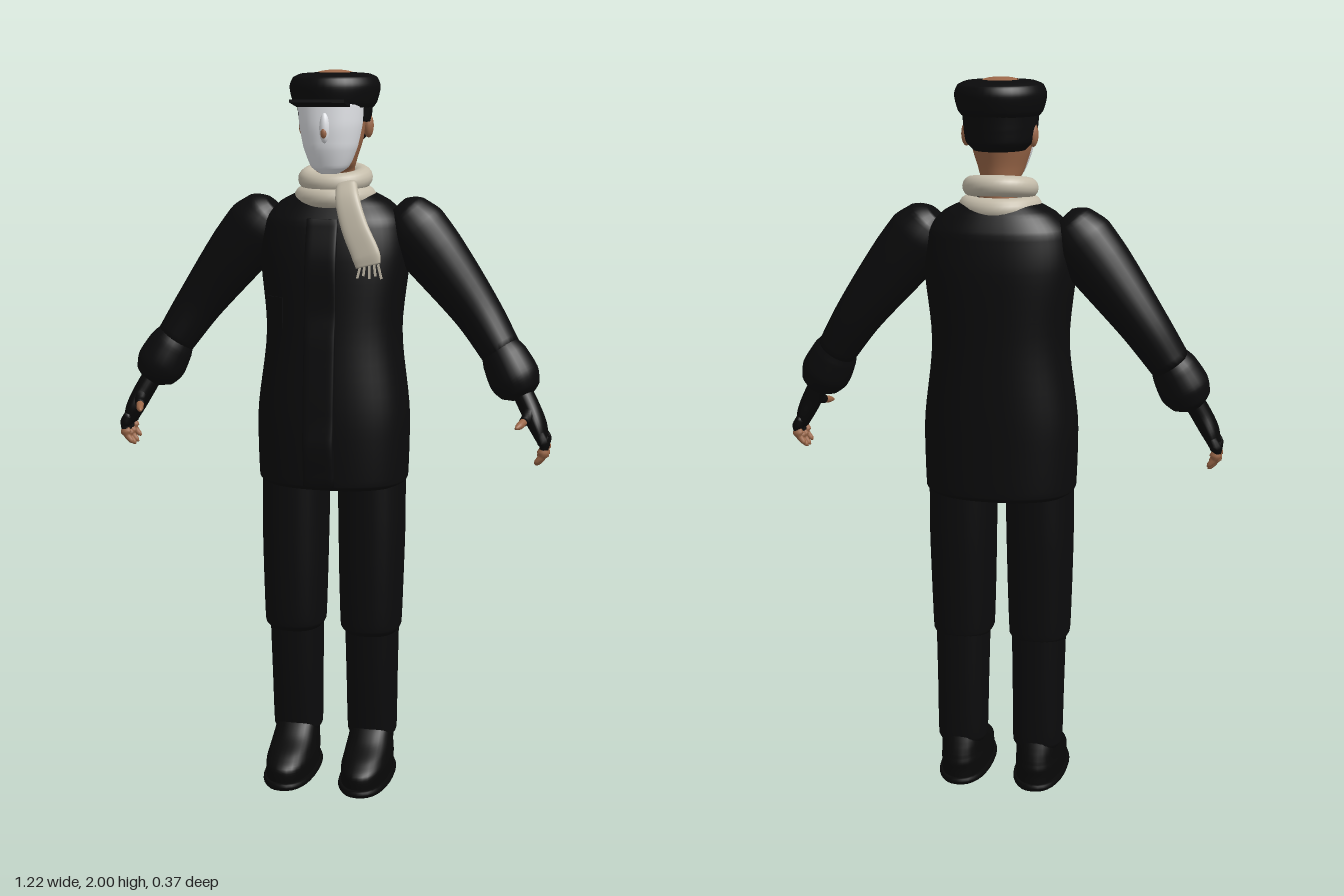
import * as THREE from 'three';

const mat = (name, color, side = THREE.FrontSide) => {
  const m = new THREE.MeshStandardMaterial({ color, side });
  m.name = name;
  return m;
};

// Smooth body through sections [x, y, z, halfWidth, halfDepth].
// Rings are level, or perpendicular to the path when follow is true.
// power > 2 squares off the ring.
function loft(sections, { follow = false, power = 2, steps = 6, seg = 32 } = {}) {
  const path = new THREE.CatmullRomCurve3(sections.map(s => new THREE.Vector3(s[0], s[1], s[2])));
  const size = new THREE.CatmullRomCurve3(sections.map(s => new THREE.Vector3(s[3], s[4], 0)));
  const n = (sections.length - 1) * steps;
  const pos = [], idx = [];
  const round = v => Math.sign(v) * Math.abs(v) ** (2 / power);
  for (let i = 0; i <= n; i++) {
    const c = path.getPoint(i / n), r = size.getPoint(i / n);
    const t = follow ? path.getTangent(i / n) : new THREE.Vector3(0, 1, 0);
    const w = new THREE.Vector3(0, 0, 1).addScaledVector(t, -t.z).normalize();
    const u = w.clone().cross(t);
    for (let j = 0; j < seg; j++) {
      const a = j / seg * Math.PI * 2;
      const p = c.clone().addScaledVector(u, r.x * round(Math.cos(a))).addScaledVector(w, r.y * round(Math.sin(a)));
      pos.push(p.x, p.y, p.z);
    }
  }
  for (let i = 0; i < n; i++) for (let j = 0; j < seg; j++) {
    const k = (j + 1) % seg;
    const a = i * seg + j, b = i * seg + k, c = b + seg, d = a + seg;
    idx.push(a, b, c, a, c, d);
  }
  // end caps
  const first = sections[0], last = sections[sections.length - 1], m = pos.length / 3;
  pos.push(...first.slice(0, 3), ...last.slice(0, 3));
  for (let j = 0; j < seg; j++) {
    const k = (j + 1) % seg;
    idx.push(m, k, j, m + 1, n * seg + j, n * seg + k);
  }
  const g = new THREE.BufferGeometry();
  g.setAttribute('position', new THREE.Float32BufferAttribute(pos, 3));
  g.setIndex(idx);
  g.computeVertexNormals();
  return g;
}

// Limits the depth of every vertex by a rule
function limitZ(g, rule) {
  const p = g.attributes.position;
  for (let i = 0; i < p.count; i++) p.setZ(i, rule(p.getZ(i), p.getY(i)));
  g.computeVertexNormals();
  return g;
}

export function createModel() {
  const model = new THREE.Group();
  model.name = 'figure';
  const cloth = mat('black cloth', 0x0b0b0c);
  const leather = mat('black leather', 0x080808);
  const skin = mat('skin', 0x9c6849);
  const white = mat('mask white', 0xe2e4e8);
  const wool = mat('scarf wool', 0xc4bcaa);
  const add = (name, geo, material, parent = model) => {
    const m = new THREE.Mesh(geo, material);
    m.name = name;
    parent.add(m);
    return m;
  };

  // jacket with front placket and chest pocket
  add('jacket', loft([
    [0, 0.872, -0.025, 0.195, 0.145], [0, 0.885, -0.025, 0.208, 0.155], [0, 1.05, -0.025, 0.212, 0.158],
    [0, 1.3, -0.033, 0.187, 0.15], [0, 1.5, -0.04, 0.205, 0.145], [0, 1.6, -0.045, 0.195, 0.13],
    [0, 1.65, -0.05, 0.15, 0.1], [0, 1.685, -0.05, 0.08, 0.07],
  ], { power: 2.4, seg: 48 }), cloth);
  add('placket', loft([
    [-0.008, 0.885, 0.128, 0.043, 0.012], [-0.008, 1.05, 0.134, 0.043, 0.012], [-0.008, 1.3, 0.118, 0.043, 0.01],
    [-0.008, 1.5, 0.106, 0.043, 0.01], [-0.008, 1.61, 0.078, 0.043, 0.01],
  ], { power: 5 }), cloth);
  const pocket = add('chestPocket', new THREE.BoxGeometry(0.055, 0.085, 0.012), cloth);
  pocket.position.set(-0.138, 1.355, 0.078);
  pocket.rotation.y = -0.5;

  // head and neck
  add('head', loft([
    [0, 1.66, -0.05, 0.055, 0.055], [0, 1.725, -0.045, 0.052, 0.055], [0, 1.755, -0.022, 0.06, 0.078],
    [0, 1.82, -0.02, 0.08, 0.095], [0, 1.9, -0.03, 0.088, 0.108], [0, 1.95, -0.035, 0.085, 0.1],
  ]), skin);
  add('mask', limitZ(loft([
    [0, 1.728, 0.03, 0.025, 0.03], [0, 1.745, 0.025, 0.05, 0.05], [0, 1.8, 0.015, 0.074, 0.076],
    [0, 1.86, 0.01, 0.086, 0.084], [0, 1.915, 0.01, 0.09, 0.08],
  ], { power: 2.2 }), z => Math.max(z, 0.008)), white);
  const bridge = add('maskBridge', new THREE.SphereGeometry(1, 16, 12), white);
  bridge.scale.set(0.014, 0.04, 0.016);
  bridge.position.set(0, 1.85, 0.09);
  const nose = add('nose', new THREE.SphereGeometry(1, 12, 8), skin);
  nose.scale.set(0.009, 0.016, 0.012);
  nose.position.set(0, 1.838, 0.097);
  add('hair', limitZ(loft([
    [0, 1.812, -0.045, 0.07, 0.085], [0, 1.835, -0.04, 0.092, 0.105],
    [0, 1.87, -0.035, 0.098, 0.115], [0, 1.925, -0.035, 0.103, 0.122],
  ], { steps: 8 }), (z, y) => Math.min(z, y < 1.862 ? -0.06 : 0.012)), cloth);
  for (const s of [1, -1]) {
    const ear = add(s > 0 ? 'leftEar' : 'rightEar', new THREE.SphereGeometry(1, 14, 10), skin);
    ear.scale.set(0.014, 0.032, 0.018);
    ear.position.set(s * 0.09, 1.852, -0.048);
  }

  // cap with open crown and raised peak
  add('cap', loft([
    [0, 1.902, -0.033, 0.104, 0.12], [0, 1.915, -0.034, 0.113, 0.128], [0, 1.955, -0.036, 0.122, 0.136],
    [0, 1.98, -0.037, 0.113, 0.128], [0, 1.99, -0.038, 0.09, 0.1], [0, 1.993, -0.038, 0.05, 0.06],
  ], { seg: 40 }), cloth);
  const crown = add('crown', new THREE.SphereGeometry(1, 28, 14), skin);
  crown.scale.set(0.053, 0.012, 0.063);
  crown.position.set(0, 1.988, -0.038);
  const peak = add('capPeak', new THREE.BoxGeometry(0.145, 0.008, 0.074), cloth);
  peak.position.set(0, 1.916, 0.143);
  peak.rotation.x = -0.18;

  // scarf: two coils, hanging tail and fringe
  [[1.662, 0.082, 0.03, 0], [1.712, 0.074, 0.028, 0.16]].forEach(([y, r, tube, tilt], i) => {
    const coil = add(i ? 'scarfUpperCoil' : 'scarfLowerCoil',
      new THREE.TorusGeometry(r, tube, 16, 40).rotateX(Math.PI / 2), wool);
    coil.position.set(0, y, -0.04);
    coil.rotation.x = tilt;
  });
  add('scarfTail', loft([
    [0.05, 1.7, 0.045, 0.028, 0.016], [0.06, 1.66, 0.078, 0.033, 0.015], [0.085, 1.59, 0.102, 0.036, 0.013],
    [0.118, 1.52, 0.114, 0.038, 0.012], [0.125, 1.492, 0.116, 0.034, 0.008],
  ], { follow: true, power: 3 }), wool);
  for (let i = 0; i < 5; i++) {
    const strand = add('scarfFringe', new THREE.BoxGeometry(0.006, 0.04, 0.005), wool);
    strand.position.set(0.1 + i * 0.014, 1.478 + (i % 2) * 0.007, 0.116);
    strand.rotation.z = 0.12 * (i - 2);
  }

  // arms and legs, built on the left and mirrored to the right
  for (const s of [1, -1]) {
    const side = s > 0 ? 'left' : 'right';
    const part = (name, sections, material, opts) => {
      const g = loft(sections, opts);
      if (s < 0) {
        g.scale(-1, 1, 1);
        const ix = g.index.array;
        for (let i = 0; i < ix.length; i += 3) [ix[i], ix[i + 1]] = [ix[i + 1], ix[i]];
        g.computeVertexNormals();
      }
      return add(side + name, g, material);
    };
    const along = { follow: true, seg: 24 }, finger = { follow: true, seg: 10, steps: 4 };

    part('Sleeve', [
      [0.17, 1.635, -0.045, 0.035, 0.035], [0.19, 1.615, -0.045, 0.07, 0.065], [0.225, 1.57, -0.045, 0.09, 0.078],
      [0.275, 1.51, -0.047, 0.086, 0.076], [0.395, 1.355, -0.05, 0.066, 0.066], [0.465, 1.25, -0.035, 0.056, 0.062],
    ], cloth, along);
    part('Cuff', [
      [0.455, 1.268, -0.038, 0.05, 0.055], [0.475, 1.235, -0.03, 0.064, 0.066], [0.502, 1.185, -0.022, 0.07, 0.072],
      [0.522, 1.148, -0.018, 0.056, 0.06], [0.53, 1.132, -0.016, 0.03, 0.035],
    ], cloth, along);
    part('Glove', [
      [0.525, 1.15, -0.012, 0.028, 0.032], [0.55, 1.105, 0, 0.028, 0.036],
      [0.573, 1.06, 0.008, 0.025, 0.046], [0.588, 1.022, 0.01, 0.017, 0.044],
    ], leather, along);
    for (let i = 0; i < 4; i++) {
      const z = -0.025 + i * 0.023, drop = [0.014, 0.002, 0, 0.008][i];
      part('GloveFinger', [[0.582, 1.045, z, 0.012, 0.012], [0.595, 1.01, z, 0.012, 0.012],
        [0.593, 0.992 + drop, z, 0.011, 0.011]], leather, finger);
      part('Fingertip', [[0.594, 1.0 + drop, z, 0.0095, 0.0095], [0.59, 0.975 + drop, z, 0.0095, 0.0095],
        [0.576, 0.957 + drop, z, 0.007, 0.008], [0.571, 0.952 + drop, z, 0.002, 0.002]], skin, finger);
    }
    part('GloveThumb', [[0.553, 1.105, 0.015, 0.017, 0.017], [0.547, 1.085, 0.045, 0.015, 0.015],
      [0.541, 1.078, 0.065, 0.013, 0.013]], leather, finger);
    part('ThumbTip', [[0.542, 1.079, 0.06, 0.011, 0.011], [0.533, 1.072, 0.088, 0.01, 0.01],
      [0.526, 1.068, 0.106, 0.004, 0.004]], skin, finger);

    part('Thigh', [
      [0.11, 0.438, -0.02, 0.074, 0.082], [0.11, 0.455, -0.019, 0.085, 0.094], [0.11, 0.6, -0.02, 0.09, 0.1],
      [0.11, 0.75, -0.023, 0.093, 0.104], [0.108, 0.92, -0.025, 0.094, 0.106],
    ], cloth, { power: 2.3 });
    part('Shin', [
      [0.11, 0.115, -0.042, 0.062, 0.058], [0.11, 0.13, -0.042, 0.07, 0.064],
      [0.11, 0.3, -0.036, 0.073, 0.074], [0.11, 0.5, -0.03, 0.077, 0.082],
    ], cloth, { power: 2.3 });
    part('Shoe', [
      [0.11, 0.014, 0.022, 0.067, 0.152], [0.11, 0.055, 0.021, 0.068, 0.152], [0.11, 0.085, 0.004, 0.065, 0.13],
      [0.11, 0.115, -0.024, 0.062, 0.092], [0.11, 0.15, -0.042, 0.058, 0.06],
    ], leather, { power: 2.3 });
    part('Sole', [[0.11, 0, 0.023, 0.07, 0.154], [0.11, 0.01, 0.023, 0.076, 0.161], [0.11, 0.022, 0.023, 0.072, 0.157]],
      leather, { power: 2.3, steps: 3 });
  }
  return model;
}
